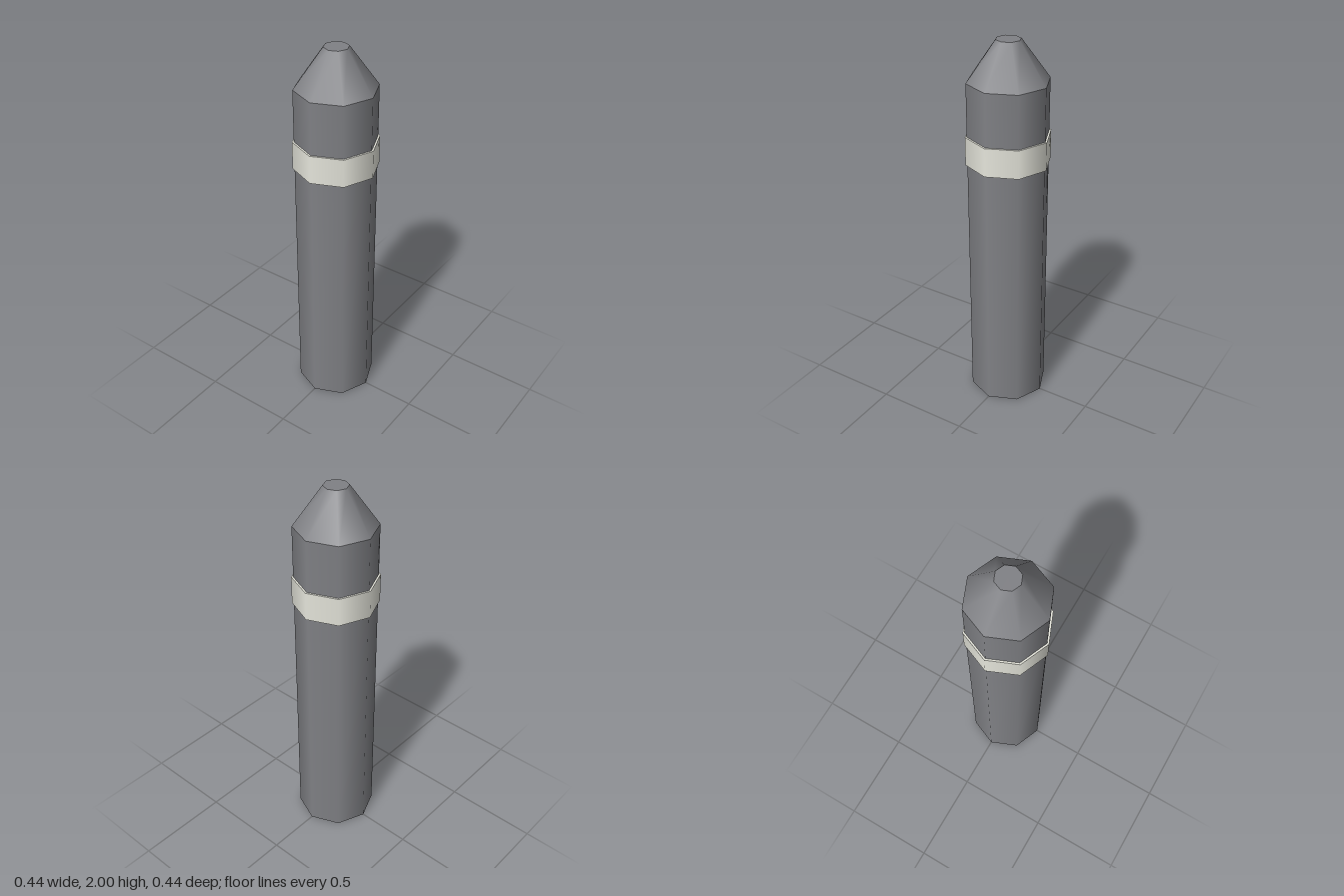
import * as THREE from 'three';

const SIDES = 8;

export function createModel() {
  const group = new THREE.Group();
  group.name = 'bollard';
  const dark = new THREE.MeshStandardMaterial({ color: 0x808185 });
  const light = new THREE.MeshStandardMaterial({ color: 0xe6e6dc });

  // Upright eight-sided section between two heights, corners on the axes
  function section(name, material, rBottom, rTop, y0, y1) {
    const geometry = new THREE.CylinderGeometry(rTop, rBottom, y1 - y0, SIDES);
    const mesh = new THREE.Mesh(geometry, material);
    mesh.name = name;
    mesh.position.y = (y0 + y1) / 2;
    group.add(mesh);
  }

  // Main post
  section('post', dark, 0.21, 0.21, 0, 1.795);
  // Tapered cap with a small flat top
  section('taperedCap', dark, 0.21, 0.063, 1.795, 2);
  // Pale band standing slightly proud of the post
  section('band', light, 0.22, 0.22, 1.37, 1.52);

  return group;
}
